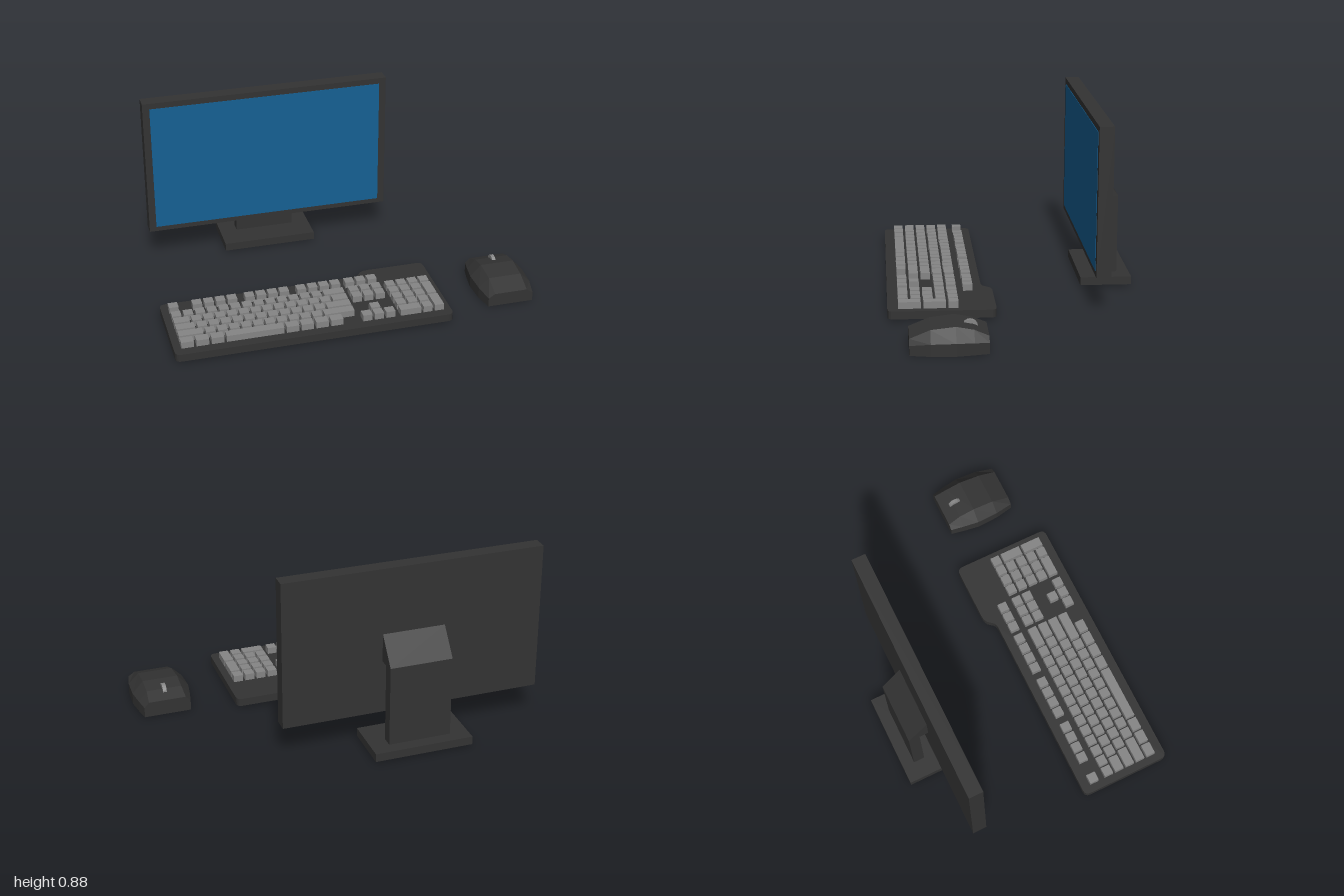
import * as THREE from 'three';
import { mergeGeometries } from 'three/addons/utils/BufferGeometryUtils.js';

const mat = (color, flatShading = true) => new THREE.MeshStandardMaterial({ color, flatShading });
const DARK = mat(0x333333), KEY = mat(0x858585), SCREEN = mat(0x156094);
const TURN = Math.PI / 6; // every item is turned by the same angle

function add(parent, name, geometry, material) {
  const mesh = new THREE.Mesh(geometry, material);
  mesh.name = name;
  parent.add(mesh);
  return mesh;
}

function box(w, h, d, x, y, z) {
  return new THREE.BoxGeometry(w, h, d).translate(x, y, z);
}

function item(name, x, z) {
  const g = new THREE.Group();
  g.name = name;
  g.position.set(x, 0, z);
  g.rotation.y = TURN;
  return g;
}

function createMonitor() {
  const g = item('monitor', -0.44, -0.43);
  add(g, 'housing', box(1.25, 0.715, 0.07, 0, 0.5275, 0), DARK);
  add(g, 'screen', box(1.18, 0.66, 0.004, 0, 0.525, 0.035), SCREEN);
  add(g, 'standBase', box(0.475, 0.04, 0.25, 0, 0.03, -0.07), DARK);
  // Upright slab with a sloping arm reaching the back of the housing
  const profile = new THREE.Shape([
    [-0.135, 0.05], [-0.08, 0.05], [-0.08, 0.43], [-0.035, 0.43], [-0.035, 0.565], [-0.135, 0.44],
  ].map(([z, y]) => new THREE.Vector2(z, y)));
  const neck = new THREE.ExtrudeGeometry(profile, { depth: 0.3, bevelEnabled: false });
  neck.translate(0, 0, -0.15).rotateY(-Math.PI / 2);
  add(g, 'standNeck', neck, DARK);
  return g;
}

function createKeyboard() {
  const g = item('keyboard', 0, 0);
  // Outline with rounded corners and a raised section at the back
  const L = -0.84, R = 0.52, F = -0.41, B = 0.043, T = 0.093, r = 0.03;
  const s = new THREE.Shape();
  s.moveTo(L + r, F);
  s.lineTo(R - r, F);
  s.quadraticCurveTo(R, F, R, F + r);
  s.lineTo(R, T - r);
  s.quadraticCurveTo(R, T, R - r, T);
  s.lineTo(0.235, T);
  s.quadraticCurveTo(0.195, T, 0.18, 0.068);
  s.quadraticCurveTo(0.165, B, 0.135, B);
  s.lineTo(L + r, B);
  s.quadraticCurveTo(L, B, L, B - r);
  s.lineTo(L, F + r);
  s.quadraticCurveTo(L, F, L + r, F);
  const body = new THREE.ExtrudeGeometry(s, { depth: 0.038, bevelEnabled: false, curveSegments: 4 });
  body.rotateX(-Math.PI / 2).translate(0, 0.011, 0);
  add(g, 'keyboardBody', body, DARK);

  // Keys are placed on a unit grid; start is counted from the left edge
  const U = 0.0578, gap = 0.012, keys = [];
  const rowZ = [0.025, 0.105, 0.163, 0.221, 0.279, 0.337];
  const key = (row, start, w = 1, rows = 1) => keys.push(box(
    w * U - gap, 0.036, rows * U - gap,
    -0.81 + (start + w / 2) * U, 0.063, rowZ[row] + (rows - 1) * U / 2));
  const run = (row, start, widths) => {
    for (const w of widths) {
      key(row, start, w);
      start += w;
    }
  };
  const ones = (n) => Array(n).fill(1);

  // Function row
  run(0, 0, [1]);
  for (const start of [2, 6.5, 11]) run(0, start, ones(4));
  // Main block
  run(1, 0, [...ones(13), 2]);
  run(2, 0, [1.5, ...ones(12), 1.5]);
  run(3, 0, [1.75, ...ones(11), 2.25]);
  run(4, 0, [2.25, ...ones(10), 2.75]);
  run(5, 0, [1.25, 1.25, 1.25, 5, 1.25, 1.25, 1.25, 2.5 / 2 + 1.25 - 1.25]);
  // Navigation and arrow keys
  for (const row of [0, 1, 2, 5]) run(row, 15.25, ones(3));
  key(4, 16.25);
  // Number pad
  run(1, 18.5, ones(4));
  for (const row of [2, 3, 4]) run(row, 18.5, ones(3));
  run(5, 18.5, [2, 1]);
  key(2, 21.5, 1, 2);
  key(4, 21.5, 1, 2);
  add(g, 'keys', mergeGeometries(keys), KEY);
  return g;
}

function createMouse() {
  const g = item('mouse', 0.807, -0.294);
  // Cross-sections: z, half width, edge height, top half width, top height
  const sections = [
    [-0.175, 0.113, 0.05, 0.09, 0.075],
    [-0.11, 0.126, 0.055, 0.085, 0.102],
    [-0.03, 0.138, 0.058, 0.085, 0.117],
    [0.08, 0.133, 0.055, 0.083, 0.104],
    [0.172, 0.115, 0.045, 0.083, 0.066],
  ];
  const N = 6, pos = [], idx = [];
  for (const [z, w, e, t, h] of sections) {
    pos.push(-w, 0, z, -w, e, z, -t, h, z, t, h, z, w, e, z, w, 0, z);
  }
  const last = (sections.length - 1) * N;
  for (let i = 0; i < last; i += N) {
    for (let j = 0; j < N; j++) {
      const a = i + j, b = i + (j + 1) % N;
      idx.push(a, a + N, b, b, a + N, b + N);
    }
  }
  for (let k = 1; k < N - 1; k++) {
    idx.push(0, k, k + 1, last, last + k + 1, last + k);
  }
  const shell = new THREE.BufferGeometry();
  shell.setAttribute('position', new THREE.Float32BufferAttribute(pos, 3));
  shell.setIndex(idx);
  shell.computeVertexNormals();
  add(g, 'mouseShell', shell, DARK);

  const wheel = new THREE.CylinderGeometry(0.035, 0.035, 0.018, 16);
  wheel.rotateZ(Math.PI / 2).translate(0, 0.087, -0.097);
  add(g, 'scrollWheel', wheel, KEY);
  return g;
}

export function createModel() {
  const model = new THREE.Group();
  model.name = 'desktopSet';
  model.add(createMonitor(), createKeyboard(), createMouse());
  return model;
}
